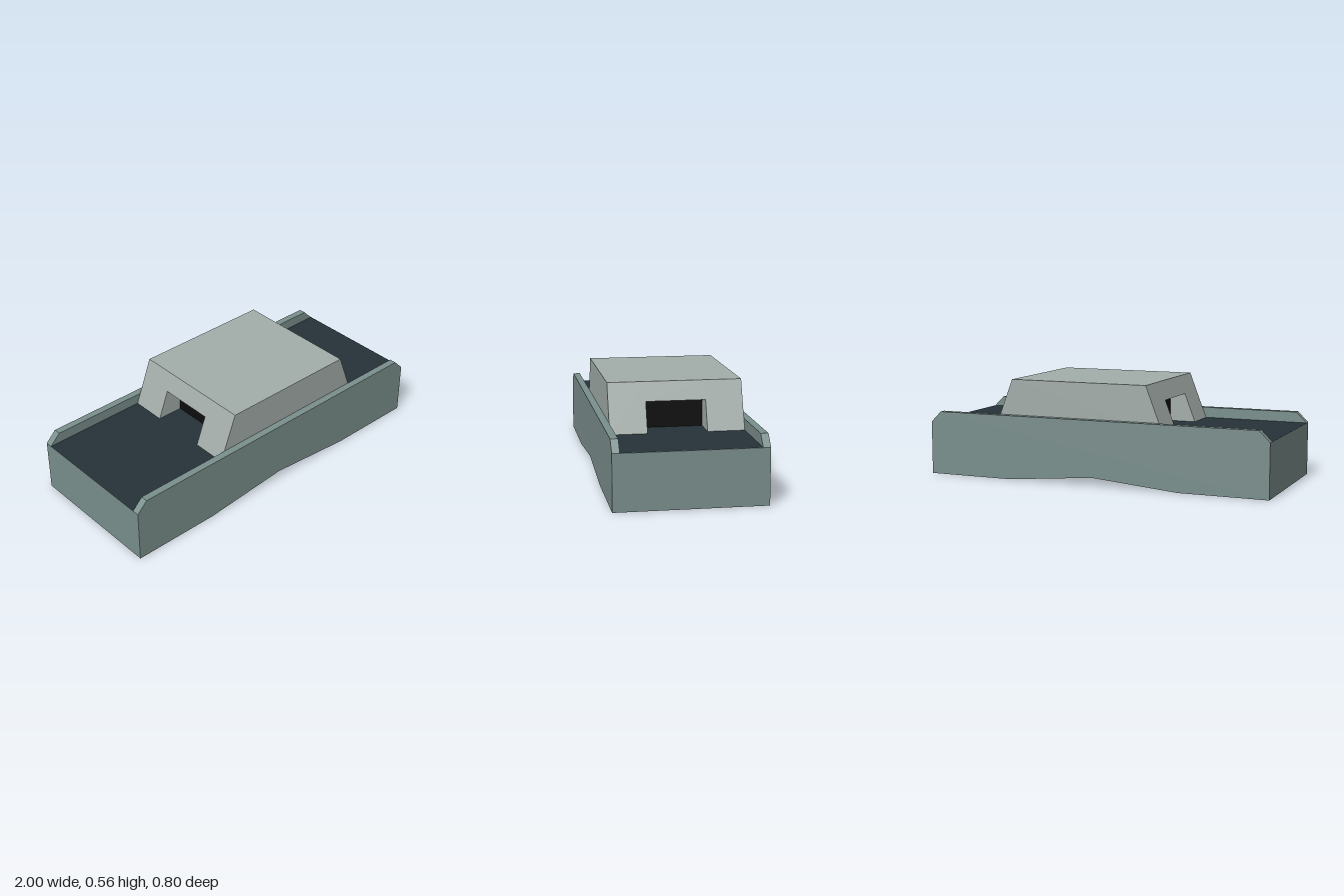
import * as THREE from 'three';

const paint = (color) => new THREE.MeshStandardMaterial({ color, flatShading: true });

// Extrude a side profile (x, y) across the width from z0 to z1
function slab(name, points, z0, z1, material) {
  const shape = new THREE.Shape(points.map(([x, y]) => new THREE.Vector2(x, y)));
  const geometry = new THREE.ExtrudeGeometry(shape, { depth: z1 - z0, bevelEnabled: false });
  geometry.translate(0, 0, z0);
  const mesh = new THREE.Mesh(geometry, material);
  mesh.name = name;
  return mesh;
}

export function createModel() {
  const model = new THREE.Group();
  model.name = 'boat';
  const hullPaint = paint(0x7a8f8c);
  const cabinPaint = paint(0xa3ada9);
  const deckPaint = paint(0x263238);
  const darkPaint = paint(0x0e0e0e);

  const deckY = 0.3, railY = 0.36, lintelY = 0.46, roofY = 0.56;
  const halfWidth = 0.4, innerZ = 0.36, doorZ = 0.16;

  // Hull with a shallow arched keel, and raised sides with clipped ends
  const keel = [[-1, 0], [-0.5, 0], [0, 0.045], [0.5, 0], [1, 0]];
  const hull = new THREE.Group();
  hull.name = 'hull';
  hull.add(slab('hullCore', [...keel, [1, deckY], [-1, deckY]], -innerZ, innerZ, hullPaint));
  const sideProfile = [...keel, [1, deckY], [0.94, railY], [-0.94, railY], [-1, deckY]];
  hull.add(slab('leftOrFrontSide', sideProfile, innerZ, halfWidth, hullPaint));
  hull.add(slab('backSide', sideProfile, -halfWidth, -innerZ, hullPaint));
  hull.children[1].name = 'frontSide';
  model.add(hull);

  // Dark deck between the raised sides
  const deck = new THREE.Mesh(new THREE.PlaneGeometry(2, 2 * innerZ), deckPaint);
  deck.name = 'deck';
  deck.rotation.x = -Math.PI / 2;
  deck.position.y = deckY + 0.001;
  model.add(deck);

  // Cabin with sloped ends: two side blocks and a bridge over the doorways
  const slope = 0.1 / (roofY - deckY);
  const section = (y0) => {
    const inset = (y0 - deckY) * slope;
    return [[-0.4 + inset, y0], [0.6 - inset, y0], [0.5, roofY], [-0.3, roofY]];
  };
  const cabin = new THREE.Group();
  cabin.name = 'cabin';
  cabin.add(slab('cabinFrontBlock', section(deckY), doorZ, innerZ, cabinPaint));
  cabin.add(slab('cabinBackBlock', section(deckY), -innerZ, -doorZ, cabinPaint));
  cabin.add(slab('cabinBridge', section(lintelY), -doorZ, doorZ, cabinPaint));

  // Dark recess behind the doorway at each end
  const recess = new THREE.Mesh(
    new THREE.BoxGeometry(0.7, lintelY - deckY, 2 * doorZ), darkPaint);
  recess.name = 'doorwayRecess';
  recess.position.set(0.1, (lintelY + deckY) / 2, 0);
  cabin.add(recess);
  model.add(cabin);

  return model;
}
